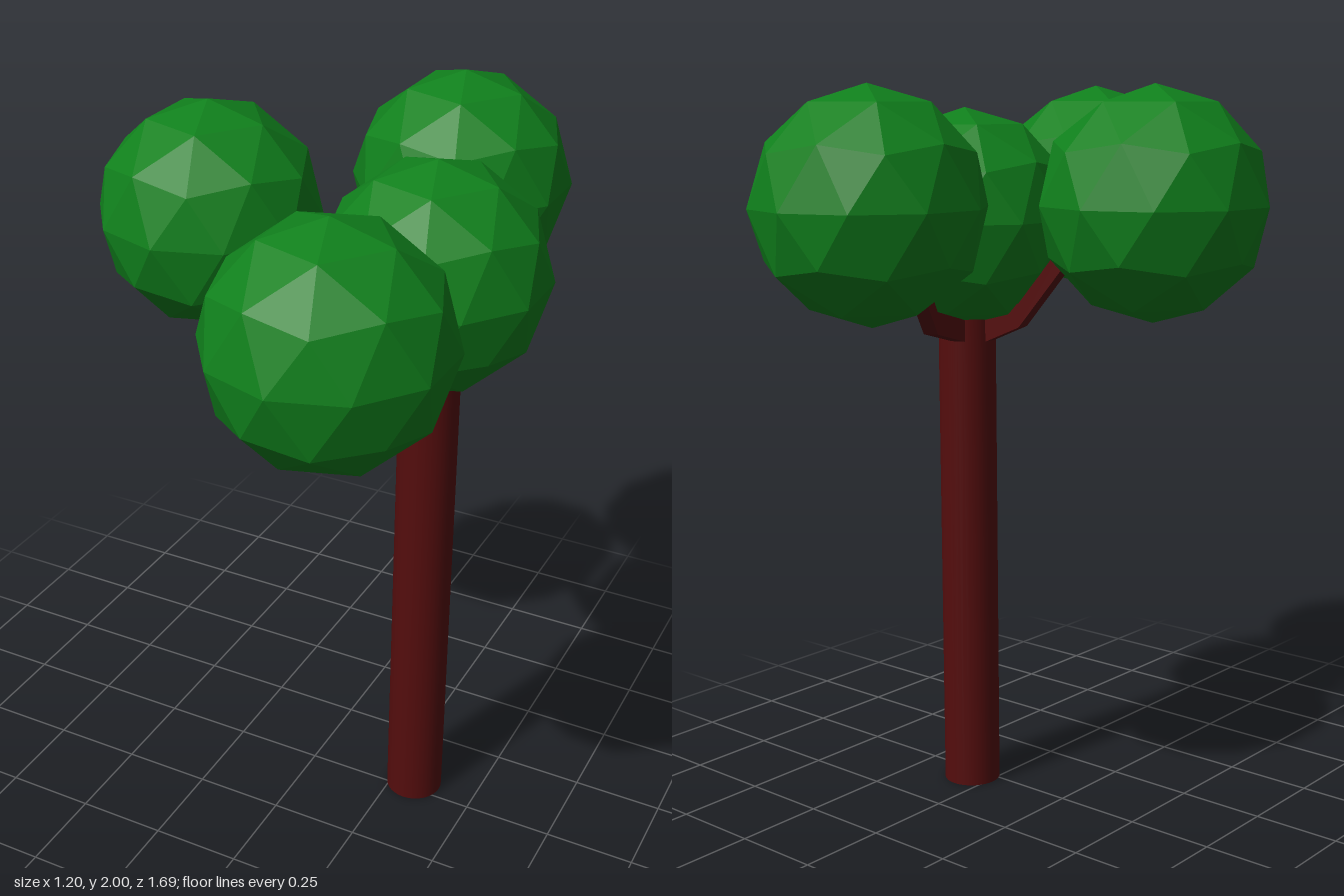
import * as THREE from 'three';

const TRUNK = { x: 0.315, z: -0.035, radius: 0.08, height: 1.42 };

export function createModel() {
  const tree = new THREE.Group();
  tree.name = 'tree';
  const bark = new THREE.MeshStandardMaterial({ color: 0x540d0d });
  const barkFlat = new THREE.MeshStandardMaterial({ color: 0x540d0d, flatShading: true });
  const leaf = new THREE.MeshStandardMaterial({ color: 0x10801c, flatShading: true });

  const add = (name, geometry, material, x, y, z) => {
    const mesh = new THREE.Mesh(geometry, material);
    mesh.name = name;
    mesh.position.set(x, y, z);
    tree.add(mesh);
    return mesh;
  };

  // Trunk, its top hidden inside the middle foliage ball
  const { x, z, radius, height } = TRUNK;
  add('trunk', new THREE.CylinderGeometry(radius, radius, height, 32), bark, x, height / 2, z);

  // Faceted foliage balls, each with a corner pointing straight up
  const ball = new THREE.IcosahedronGeometry(0.3, 1);
  ball.rotateZ(-Math.atan2(1, (1 + Math.sqrt(5)) / 2));
  const balls = {
    middleFoliage: [x, 1.64, z],
    rightFoliage: [-0.315, 1.7, -0.02],
    frontFoliage: [x, 1.7, 0.545],
    backFoliage: [0.17, 1.7, -0.545],
  };
  for (const [name, p] of Object.entries(balls)) add(name, ball, leaf, ...p);

  // Bent branches: side outline of [distance from trunk axis, bottom, top],
  // extruded to the branch width and turned to its heading
  const width = 0.04;
  const addBranch = (name, outline, dx, dz) => {
    const lower = outline.map(([d, bottom]) => new THREE.Vector2(d, bottom));
    const upper = outline.map(([d, , top]) => new THREE.Vector2(d, top)).reverse();
    const geometry = new THREE.ExtrudeGeometry(new THREE.Shape([...lower, ...upper]), {
      depth: width, bevelEnabled: false,
    });
    geometry.translate(0, 0, -width / 2);
    add(name, geometry, barkFlat, x, 0, z).rotation.y = Math.atan2(-dz, dx);
  };
  addBranch('rightBranch', [[0.03, 1.29, 1.35], [0.08, 1.305, 1.37], [0.19, 1.352, 1.418], [0.38, 1.575, 1.64]], -0.37, 0.035);
  addBranch('frontBranch', [[0.03, 1.28, 1.335], [0.08, 1.3, 1.36], [0.175, 1.34, 1.4], [0.345, 1.475, 1.53]], 0, 1);
  addBranch('backBranch', [[0.03, 1.295, 1.355], [0.09, 1.31, 1.37], [0.29, 1.355, 1.415], [0.38, 1.46, 1.53]], -0.12, -0.28);

  return tree;
}
